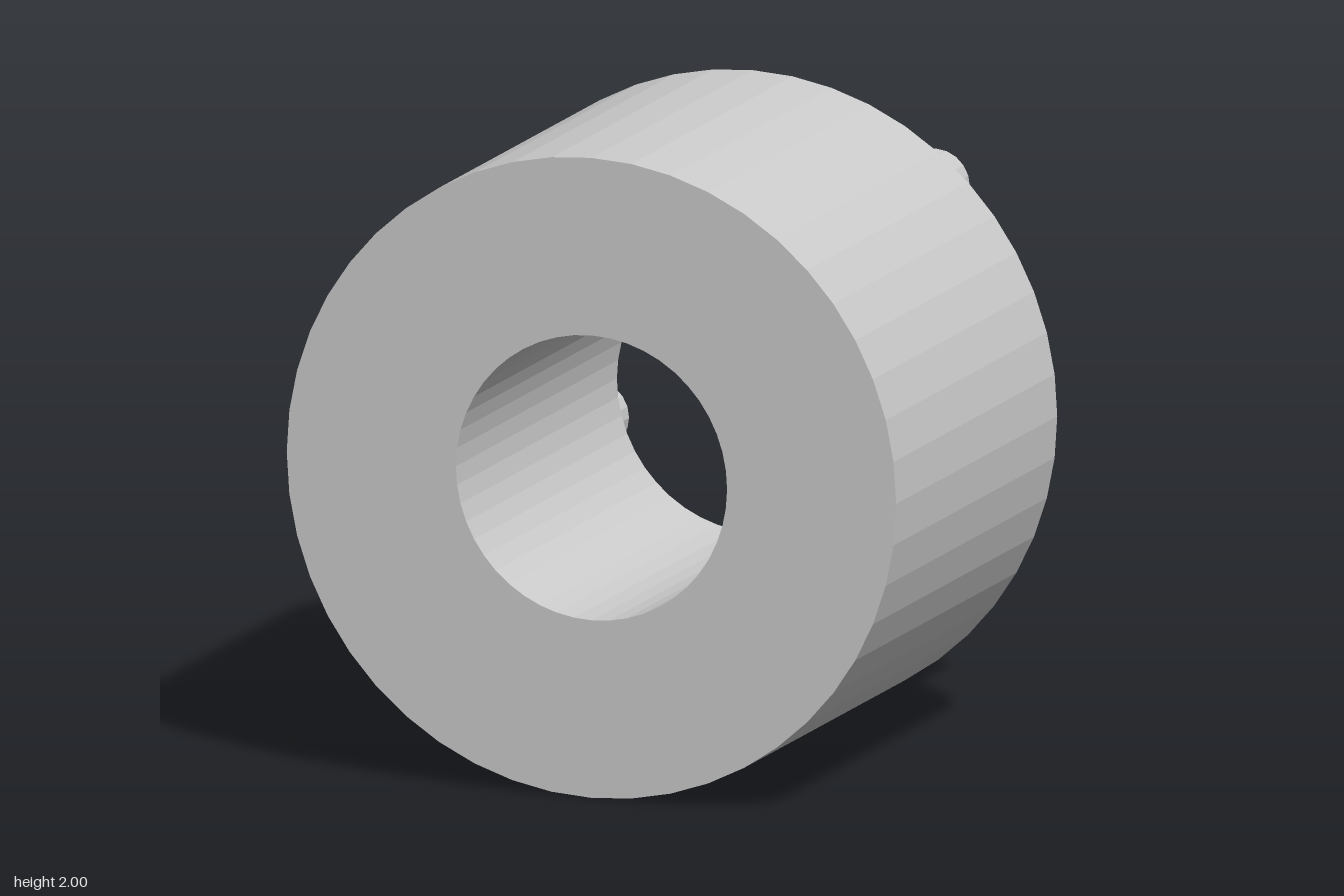
import * as THREE from 'three';

export function createModel() {
  const group = new THREE.Group();
  const material = new THREE.MeshStandardMaterial({ color: 0xcccccc, flatShading: true });
  const centerY = 1, backZ = -0.445, frontZ = 0.89;

  // Thick ring with a through bore (24 curve segments give 48 sides)
  const ring = new THREE.Shape().absarc(0, 0, 1, 0, Math.PI * 2);
  ring.holes.push(new THREE.Path().absarc(0, 0, 0.445, 0, Math.PI * 2, true));
  const body = new THREE.Mesh(
    new THREE.ExtrudeGeometry(ring, { depth: frontZ - backZ, bevelEnabled: false, curveSegments: 24 }),
    material
  );
  body.name = 'ringBody';
  body.position.set(0, centerY, backZ);
  group.add(body);

  // Five pins on the back face, one at the bottom
  const pinCount = 5, pinLength = 0.445, pinCircle = 0.727;
  const pinGeometry = new THREE.CylinderGeometry(0.11, 0.11, pinLength, 20).rotateX(Math.PI / 2);
  for (let i = 0; i < pinCount; i++) {
    const a = (i / pinCount) * Math.PI * 2;
    const pin = new THREE.Mesh(pinGeometry, material);
    pin.name = `pin${i + 1}`;
    pin.position.set(pinCircle * Math.sin(a), centerY - pinCircle * Math.cos(a), backZ - pinLength / 2);
    group.add(pin);
  }
  return group;
}
